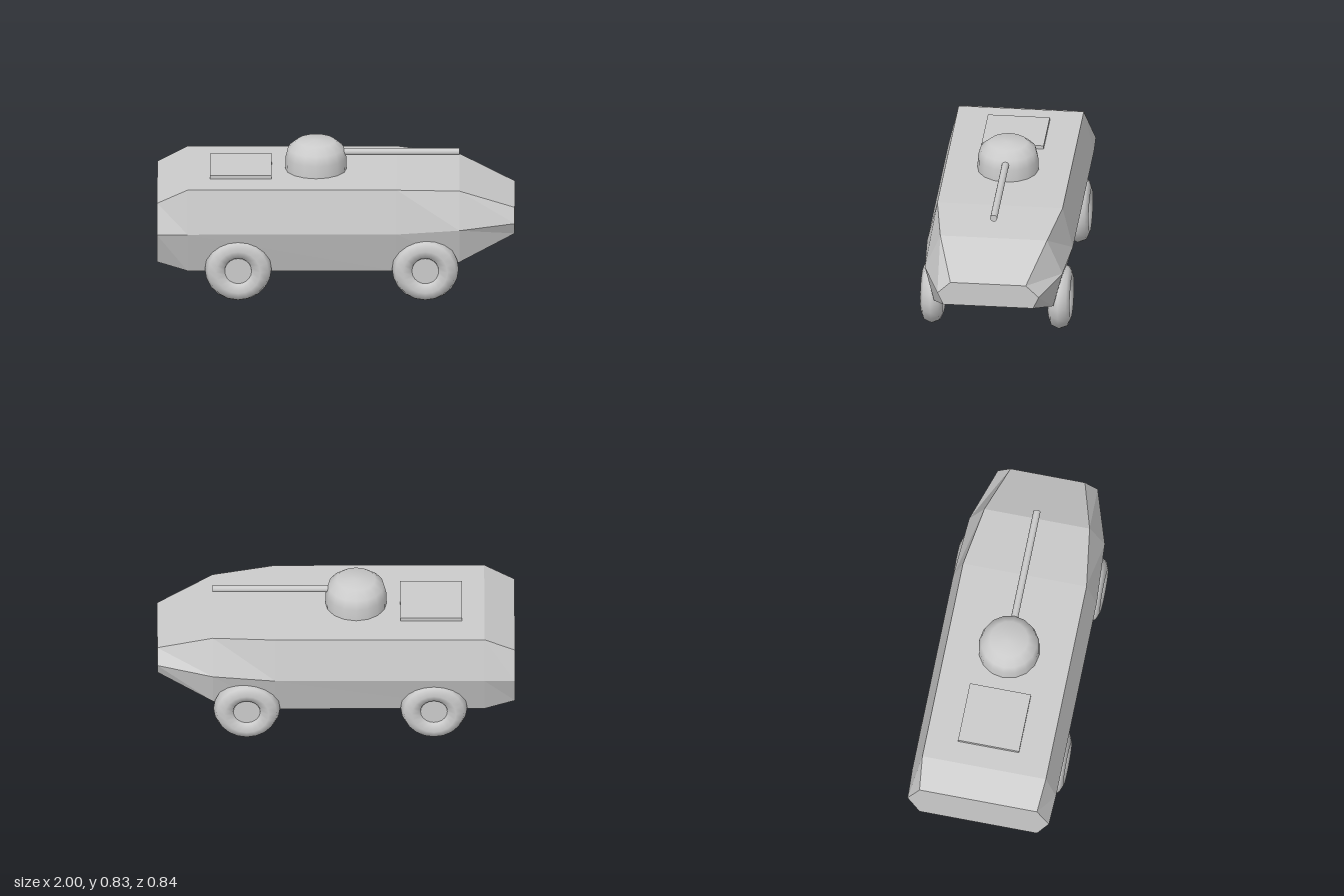
import * as THREE from 'three';

const flat = new THREE.MeshStandardMaterial({ color: 0xcccccc, flatShading: true });
const smooth = new THREE.MeshStandardMaterial({ color: 0xcccccc });

function add(parent, name, geometry, material, x = 0, y = 0, z = 0) {
  const mesh = new THREE.Mesh(geometry, material);
  mesh.name = name;
  mesh.position.set(x, y, z);
  parent.add(mesh);
  return mesh;
}

// Six-sided hull lofted along x; each row: x, then [y, half width] of top, middle and bottom edge
function hullGeometry() {
  const sections = [
    [-1.0, [0.57, 0.335], [0.405, 0.403], [0.22, 0.335]],
    [-0.83, [0.655, 0.352], [0.41, 0.41], [0.168, 0.34]],
    [0.34, [0.655, 0.352], [0.412, 0.41], [0.168, 0.34]],
    [0.69, [0.63, 0.3], [0.426, 0.387], [0.218, 0.335]],
    [1.0, [0.5, 0.212], [0.43, 0.285], [0.36, 0.253]],
  ];
  const positions = [];
  for (const [x, ...edges] of sections) {
    for (const [y, w] of edges) positions.push(x, y, w);
    for (const [y, w] of [...edges].reverse()) positions.push(x, y, -w);
  }
  const index = [];
  const last = (sections.length - 1) * 6;
  for (let s = 0; s < last; s += 6) {
    for (let i = 0; i < 6; i++) {
      const a = s + i, b = s + ((i + 1) % 6);
      index.push(a, b, b + 6, a, b + 6, a + 6);
    }
  }
  // End plates
  for (let i = 1; i < 5; i++) {
    index.push(0, i + 1, i);
    index.push(last, last + i, last + i + 1);
  }
  const geometry = new THREE.BufferGeometry();
  geometry.setAttribute('position', new THREE.Float32BufferAttribute(positions, 3));
  geometry.setIndex(index);
  geometry.computeVertexNormals();
  return geometry;
}

export function createModel() {
  const model = new THREE.Group();
  model.name = 'armouredCar';

  add(model, 'hull', hullGeometry(), flat);
  add(model, 'rearHatch', new THREE.BoxGeometry(0.345, 0.04, 0.348), flat, -0.532, 0.655, 0);

  // Domed turret
  const profile = [[0.172, 0.64], [0.172, 0.655], [0.17, 0.725], [0.157, 0.778], [0.108, 0.819], [0.015, 0.827], [0, 0.827]]
    .map(([r, y]) => new THREE.Vector2(r, y));
  add(model, 'turret', new THREE.LatheGeometry(profile, 16), smooth, -0.112, 0, 0);

  // Gun barrel pointing forward along +x
  const barrel = add(model, 'gunBarrel', new THREE.CylinderGeometry(0.02, 0.02, 0.75, 12), smooth, 0.315, 0.754, 0);
  barrel.rotation.z = -Math.PI / 2;

  // Four wheels: round tyre with a recessed hub
  const tyre = new THREE.TorusGeometry(0.124, 0.0625, 8, 20);
  const hub = new THREE.CylinderGeometry(0.075, 0.075, 0.07, 20).rotateX(Math.PI / 2);
  for (const [axle, x] of [['front', 0.5], ['rear', -0.547]]) {
    for (const side of [1, -1]) {
      const wheel = new THREE.Group();
      wheel.name = axle + (side > 0 ? 'Left' : 'Right') + 'Wheel';
      wheel.position.set(x, 0.1865, side * 0.358);
      add(wheel, 'tyre', tyre, smooth);
      add(wheel, 'hub', hub, smooth);
      model.add(wheel);
    }
  }
  return model;
}
